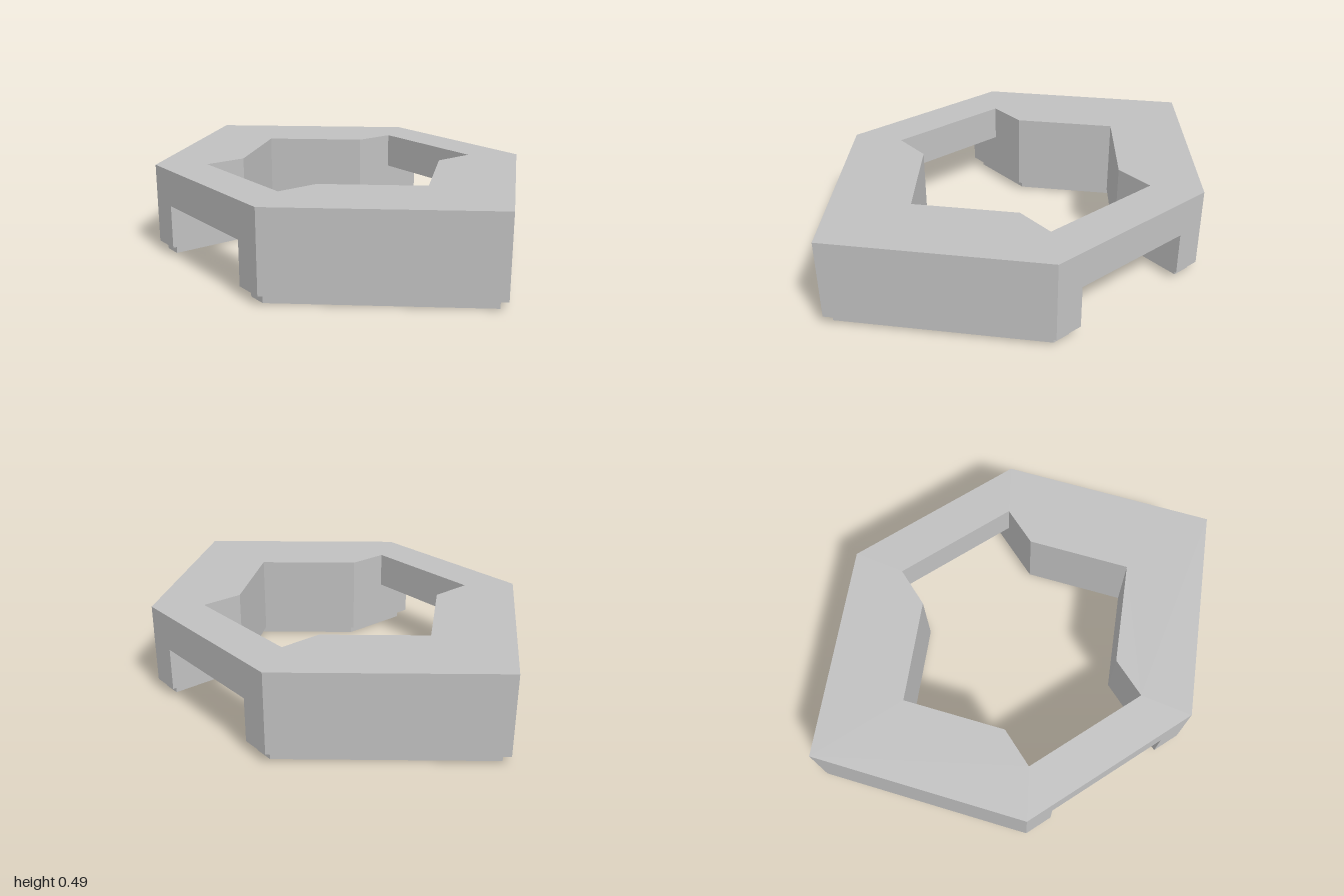
import * as THREE from 'three';

// Horizontal slab from an [x, z] outline, spanning y0..y1
function slab(name, points, y0, y1, material, hole) {
  const toV = ([x, z]) => new THREE.Vector2(x, z);
  const shape = new THREE.Shape(points.map(toV));
  if (hole) shape.holes.push(new THREE.Path(hole.map(toV)));
  const geo = new THREE.ExtrudeGeometry(shape, { depth: y1 - y0, bevelEnabled: false });
  geo.rotateX(Math.PI / 2).translate(0, y1, 0);
  const mesh = new THREE.Mesh(geo, material);
  mesh.name = name;
  return mesh;
}

// Move every edge of an outline inward by d (mitred corners)
function inset(points, d) {
  const n = points.length;
  const area = points.reduce((s, [x, z], i) => {
    const [u, v] = points[(i + 1) % n];
    return s + x * v - u * z;
  }, 0);
  const sign = Math.sign(area);
  const normal = ([ax, az], [bx, bz]) => {
    const len = Math.hypot(bx - ax, bz - az);
    return [-sign * (bz - az) / len, sign * (bx - ax) / len];
  };
  return points.map((p, i) => {
    const a = normal(points[(i + n - 1) % n], p);
    const b = normal(p, points[(i + 1) % n]);
    const k = d / (1 + a[0] * b[0] + a[1] * b[1]);
    return [p[0] + k * (a[0] + b[0]), p[1] + k * (a[1] + b[1])];
  });
}

export function createModel() {
  const grey = new THREE.MeshStandardMaterial({ color: 0xc0c0c0 });
  grey.name = 'light grey';
  const model = new THREE.Group();
  model.name = 'hexagonalRing';

  // Half outlines, completed by a half turn about the vertical axis
  const fullTurn = (half) => [...half, ...half.map(([x, z]) => [-x, -z])];
  const outer = fullTurn([[-0.915, -0.915], [0.265, -1], [1, -0.265]]);
  const inner = fullTurn([[-0.515, -0.515], [0.05, -0.555], [0.215, -0.72], [0.72, -0.215], [0.555, -0.05]]);
  model.add(slab('upperRing', outer, 0.29, 0.492, grey, inner));

  // L-shaped legs either side of the two openings, each on a recessed foot
  const leg = [
    [-1, 0.265], [-0.915, -0.915], [0.265, -1], [0.38, -0.885],
    [0.05, -0.555], [-0.515, -0.515], [-0.555, 0.05], [-0.885, 0.38],
  ];
  for (const [side, angle] of [['back', 0], ['front', Math.PI]]) {
    const group = new THREE.Group();
    group.name = side + 'Leg';
    group.add(slab(side + 'LegBody', leg, 0.05, 0.29, grey));
    group.add(slab(side + 'LegFoot', inset(leg, 0.04), 0, 0.05, grey));
    group.rotation.y = angle;
    model.add(group);
  }
  return model;
}
